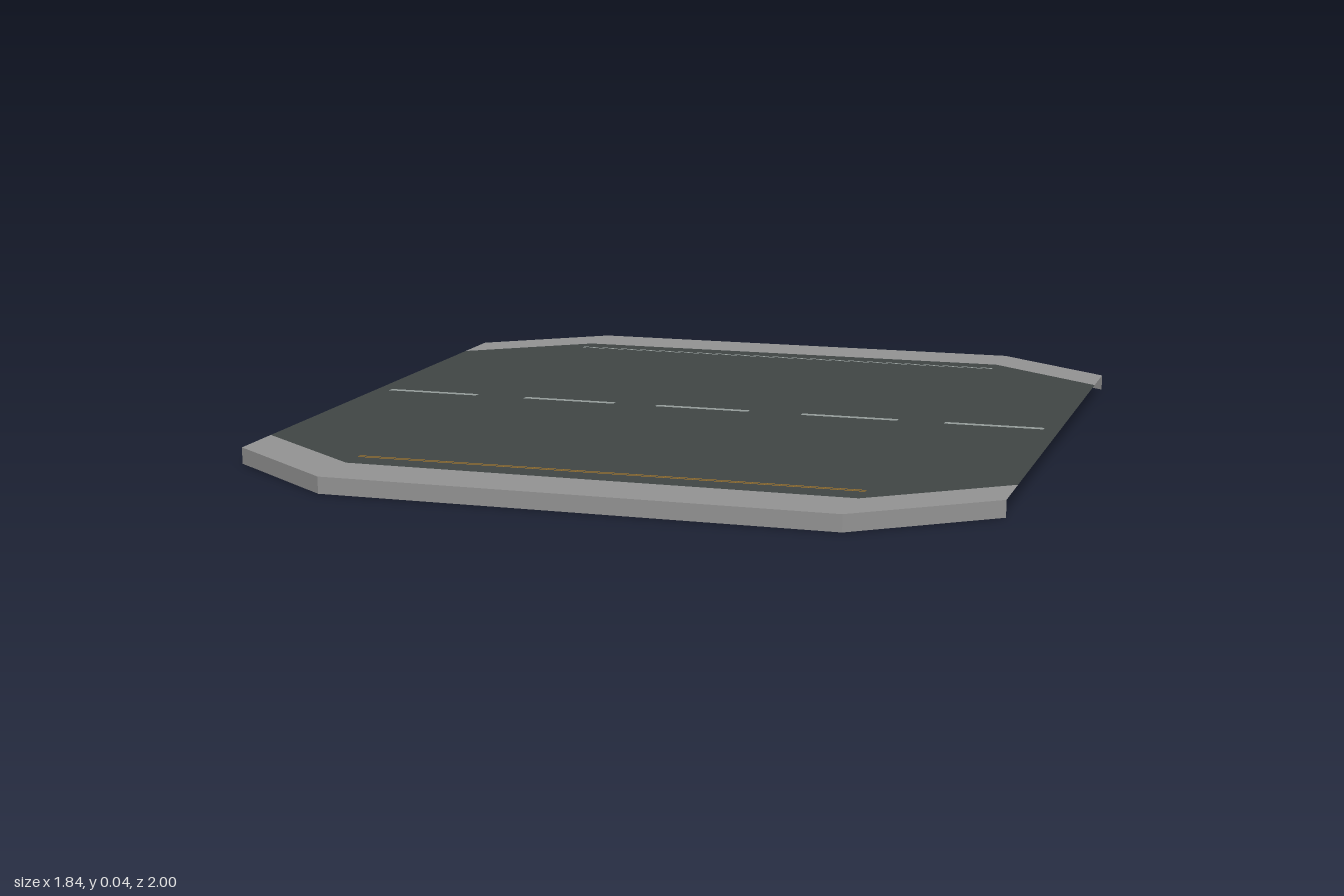
import * as THREE from 'three';

const TOP = 0.04;

export function createModel() {
  const model = new THREE.Group();
  model.name = 'roadTile';
  const mat = (name, color) => {
    const m = new THREE.MeshStandardMaterial({ color, side: THREE.DoubleSide });
    m.name = name;
    return m;
  };
  const concrete = mat('concrete', 0x939393);
  const asphalt = mat('asphalt', 0x404645);
  const white = mat('white paint', 0x949c9a);
  const amber = mat('amber paint', 0xb07a20);

  const add = (name, geometry, material) => {
    const mesh = new THREE.Mesh(geometry, material);
    mesh.name = name;
    model.add(mesh);
    return mesh;
  };

  // Flat face at height y from [x, z] corners
  const flat = (pts, y = TOP) => {
    const shape = new THREE.Shape(pts.map(([x, z]) => new THREE.Vector2(x, -z)));
    return new THREE.ShapeGeometry(shape).rotateX(-Math.PI / 2).translate(0, y, 0);
  };

  // Outer and inner lines of the kerb on the front edge
  const outer = [[-0.92, 0.77], [-0.61, 1], [0.61, 1], [0.92, 0.77]];
  const inner = outer.map(([x, z]) => [x, z - 0.15]);
  const flip = (pts) => pts.map(([x, z]) => [-x, -z]);

  // Road surface
  add('roadSurface', flat([...inner, ...flip(inner)]), asphalt);

  // Kerbs: a flat top with an outer wall, open at the ends and below
  for (const [name, turn] of [['front', (p) => p], ['back', flip]]) {
    const o = turn(outer), i = turn(inner);
    add(name + 'KerbTop', flat([...o, ...[...i].reverse()]), concrete);
    const wall = [];
    for (let k = 0; k < 3; k++) {
      const [[ax, az], [bx, bz]] = [o[k], o[k + 1]];
      wall.push(ax, 0, az, bx, 0, bz, bx, TOP, bz, ax, 0, az, bx, TOP, bz, ax, TOP, az);
    }
    const g = new THREE.BufferGeometry();
    g.setAttribute('position', new THREE.Float32BufferAttribute(wall, 3));
    g.computeVertexNormals();
    add(name + 'KerbWall', g, concrete);
  }

  // Painted markings, just above the road
  const stripe = (name, x, z, length, width, material) => {
    const g = new THREE.PlaneGeometry(length, width).rotateX(-Math.PI / 2);
    add(name, g, material).position.set(x, TOP + 0.001, z);
  };
  for (const x of [-0.755, -0.37, -0.005, 0.385, 0.755]) stripe('centreDash', x, 0, 0.25, 0.02, white);
  for (const z of [0.775, 0.786]) {
    stripe('frontEdgeLine', 0, z, 1.22, 0.005, amber);
    stripe('backEdgeLine', 0, -z, 1.22, 0.005, white);
  }
  return model;
}
